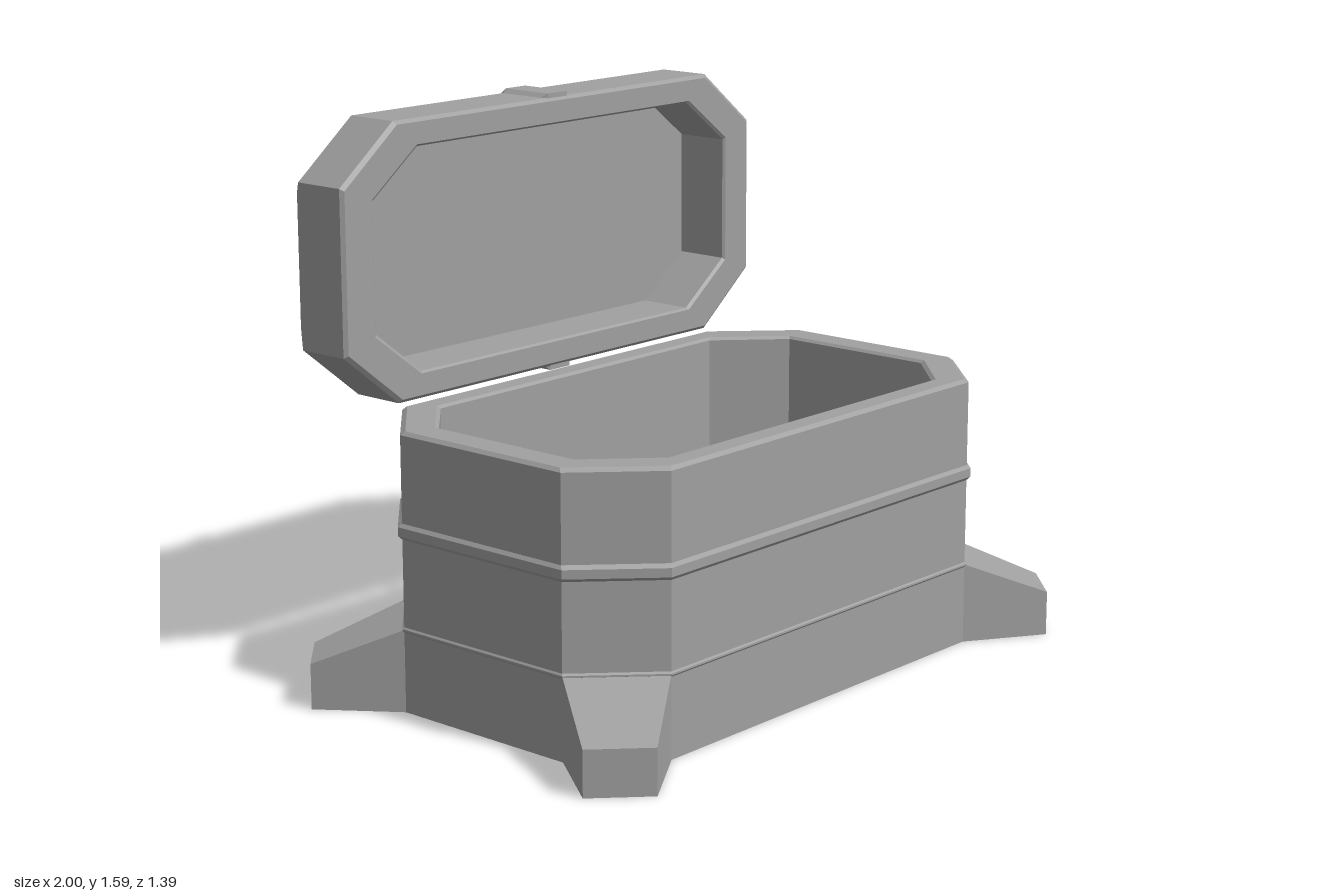
import * as THREE from 'three';
import { ConvexGeometry } from 'three/addons/geometries/ConvexGeometry.js';

const grey = new THREE.MeshStandardMaterial({ color: 0xa0a0a0 });
grey.name = 'plain grey';

// Octagon ring: half sizes, corner cuts, height
function octagon([hx, hz, cx, cz, y]) {
  return [
    [hx, -hz + cz], [hx, hz - cz], [hx - cx, hz], [-hx + cx, hz],
    [-hx, hz - cz], [-hx, -hz + cz], [-hx + cx, -hz], [hx - cx, -hz],
  ].map(([x, z]) => [x, y, z]);
}

// Flat-faced skin through a series of octagon rings, capped at both ends
function loft(sections) {
  const rings = sections.map(octagon);
  const pos = [];
  const tri = (a, b, c) => pos.push(...a, ...b, ...c);
  for (let r = 0; r < rings.length - 1; r++) {
    for (let i = 0; i < 8; i++) {
      const j = (i + 1) % 8;
      const a = rings[r][i], b = rings[r][j], c = rings[r + 1][j], d = rings[r + 1][i];
      tri(a, d, c);
      tri(a, c, b);
    }
  }
  const first = rings[0], last = rings[rings.length - 1];
  for (let i = 1; i < 7; i++) {
    tri(first[0], first[i], first[i + 1]);
    tri(last[0], last[i + 1], last[i]);
  }
  const geo = new THREE.BufferGeometry();
  geo.setAttribute('position', new THREE.Float32BufferAttribute(pos, 3));
  geo.computeVertexNormals();
  return geo;
}

function add(parent, name, geo) {
  const mesh = new THREE.Mesh(geo, grey);
  mesh.name = name;
  parent.add(mesh);
  return mesh;
}

export function createModel() {
  const model = new THREE.Group();
  model.name = 'openChest';

  // Hollow chest body: base, seam lip, raised band, rim, inner walls, floor
  const chest = new THREE.Group();
  chest.name = 'chest';
  chest.position.z = 0.055;
  model.add(chest);
  const outer = (grow, y) => [0.847 + grow, 0.493 + grow, 0.2, 0.2, y];
  add(chest, 'body', loft([
    outer(0, 0), outer(0, 0.228), outer(0.004, 0.233), outer(0.004, 0.238), outer(0, 0.243),
    outer(0, 0.49), outer(0.008, 0.5), outer(0.008, 0.525), outer(0, 0.535),
    outer(0, 0.78), outer(-0.01, 0.79),
    [0.755, 0.425, 0.175, 0.17, 0.79], [0.747, 0.418, 0.175, 0.17, 0.782],
    [0.747, 0.418, 0.175, 0.17, 0.1],
  ]));

  // Sloping corner feet
  for (const sx of [1, -1]) {
    for (const sz of [1, -1]) {
      const points = [];
      const post = (x, z, top) => {
        for (const y of [0, top]) points.push(new THREE.Vector3(sx * x, y, sz * z));
      };
      post(0.647, 0.493, 0.235);
      post(0.847, 0.293, 0.235);
      post(0.865, 0.637, 0.13);
      post(1.0, 0.505, 0.13);
      add(chest, 'foot', new ConvexGeometry(points));
    }
  }

  // Hollow lid standing open behind the chest, opening towards the front
  const lid = new THREE.Group();
  lid.name = 'lid';
  model.add(lid);
  const shell = add(lid, 'lidShell', loft([
    [0.79, 0.328, 0.175, 0.14, 0],
    [0.847, 0.392, 0.2, 0.16, 0.07],
    [0.847, 0.392, 0.2, 0.16, 0.232],
    [0.837, 0.382, 0.197, 0.157, 0.242],
    [0.737, 0.32, 0.17, 0.13, 0.242],
    [0.73, 0.314, 0.17, 0.13, 0.235],
    [0.73, 0.314, 0.17, 0.13, 0.07],
  ]));
  shell.position.set(0, 1.188, -0.684);
  shell.rotation.x = Math.PI / 2;

  // Bevelled strap wrapping the top, back and bottom of the lid
  const strapShape = new THREE.Shape([
    [-0.45, 0.404], [-0.617, 0.404], [-0.696, 0.335],
    [-0.696, -0.335], [-0.617, -0.404], [-0.45, -0.404],
    [-0.45, -0.365], [-0.605, -0.365], [-0.655, -0.315],
    [-0.655, 0.315], [-0.605, 0.365], [-0.45, 0.365],
  ].map(([z, y]) => new THREE.Vector2(z, y)));
  const strapGeo = new THREE.ExtrudeGeometry(strapShape, {
    depth: 0.08, bevelEnabled: true, bevelSegments: 1,
    bevelThickness: 0.014, bevelSize: 0.012, bevelOffset: -0.012,
  });
  strapGeo.translate(0, 0, -0.04);
  strapGeo.rotateY(-Math.PI / 2);
  add(lid, 'strap', strapGeo).position.y = 1.188;

  // Thin hinge plates on the back of the lid
  for (const side of [1, -1]) {
    add(lid, 'hingePlate', new THREE.BoxGeometry(0.07, 0.15, 0.009))
      .position.set(side * 0.395, 1.187, -0.685);
  }

  return model;
}
